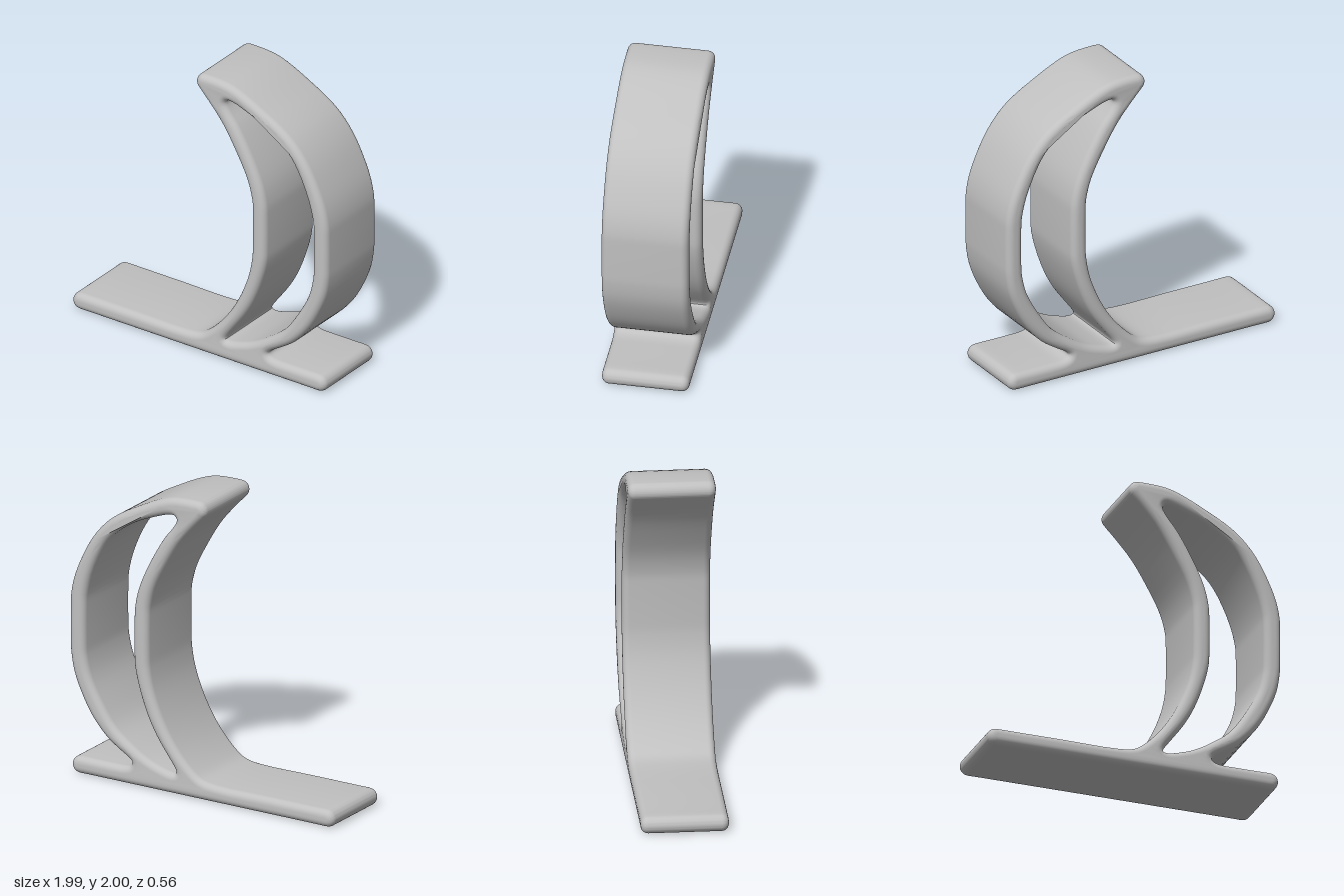
import * as THREE from 'three';
import { toCreasedNormals } from 'three/addons/utils/BufferGeometryUtils.js';

// Points along an arc, angles in degrees
function arc(cx, cy, r, from, to, n = 8) {
  return Array.from({ length: n + 1 }, (_, i) => {
    const a = THREE.MathUtils.degToRad(from + (to - from) * i / n);
    return [cx + r * Math.cos(a), cy + r * Math.sin(a)];
  });
}

// Smooth closed loop through the given points
function smoothLoop(points) {
  const curve = new THREE.CatmullRomCurve3(
    points.map(([x, y]) => new THREE.Vector3(x, y, 0)), true, 'centripetal');
  return curve.getPoints(points.length * 3).slice(0, -1)
    .map((p) => new THREE.Vector2(p.x, p.y));
}

export function createModel() {
  const group = new THREE.Group();
  group.name = 'crescentStand';
  const grey = new THREE.MeshStandardMaterial({ color: 0xc0c0c0 });
  grey.name = 'light grey';

  // Silhouette: base bar, outer bow, tip, inner bow
  const outline = [
    [-0.85, 0], [0, 0], [0.85, 0],
    ...arc(0.918, 0.057, 0.057, -90, 90),
    [0.82, 0.114], [0.66, 0.114], [0.58, 0.116], [0.535, 0.13], [0.525, 0.15], [0.55, 0.175],
    [0.62, 0.217], [0.72, 0.287], [0.83, 0.41], [0.91, 0.55], [0.965, 0.69],
    [0.987, 0.82], [0.99, 0.9], [0.99, 1.12], [0.987, 1.2], [0.965, 1.31],
    [0.92, 1.43], [0.83, 1.6], [0.72, 1.73], [0.61, 1.81], [0.5, 1.87],
    [0.35, 1.945], [0.24, 1.985], [0.15, 1.998],
    ...arc(0.022, 1.943, 0.057, 90, 222),
    [0.06, 1.82], [0.17, 1.69], [0.28, 1.51], [0.36, 1.35], [0.395, 1.22],
    [0.4, 1.14], [0.4, 0.88], [0.395, 0.8], [0.37, 0.67], [0.31, 0.51],
    [0.24, 0.38], [0.16, 0.27], [0.06, 0.17], [0, 0.132], [-0.1, 0.114], [-0.5, 0.114], [-0.85, 0.114],
    ...arc(-0.94, 0.057, 0.057, 90, 270),
  ];

  // Crescent opening between the two bows
  const opening = [
    [0.192, 1.845], [0.22, 1.79], [0.29, 1.7], [0.4, 1.51], [0.475, 1.34], [0.505, 1.21],
    [0.51, 1.13], [0.51, 0.88], [0.505, 0.8], [0.475, 0.67], [0.41, 0.49],
    [0.34, 0.36], [0.25, 0.235], [0.203, 0.17], [0.195, 0.145], [0.22, 0.138],
    [0.31, 0.158], [0.41, 0.195], [0.52, 0.26], [0.65, 0.36], [0.75, 0.5],
    [0.835, 0.66], [0.87, 0.8], [0.875, 0.88], [0.875, 1.13], [0.87, 1.21],
    [0.835, 1.35], [0.75, 1.54], [0.67, 1.65], [0.52, 1.76], [0.35, 1.835],
    [0.25, 1.868], [0.205, 1.868],
  ];

  const shape = new THREE.Shape(smoothLoop(outline));
  shape.holes.push(new THREE.Path(smoothLoop(opening).reverse()));

  // Extrude across z with fully rounded edges
  const width = 0.56, round = 0.046;
  const geometry = new THREE.ExtrudeGeometry(shape, {
    depth: width - 2 * round,
    bevelEnabled: true,
    bevelThickness: round,
    bevelSize: round,
    bevelOffset: -round,
    bevelSegments: 6,
  });
  geometry.translate(0, 0, round - width / 2);

  const frame = new THREE.Mesh(toCreasedNormals(geometry, 0.7), grey);
  frame.name = 'baseAndCrescentFrame';
  group.add(frame);
  return group;
}
